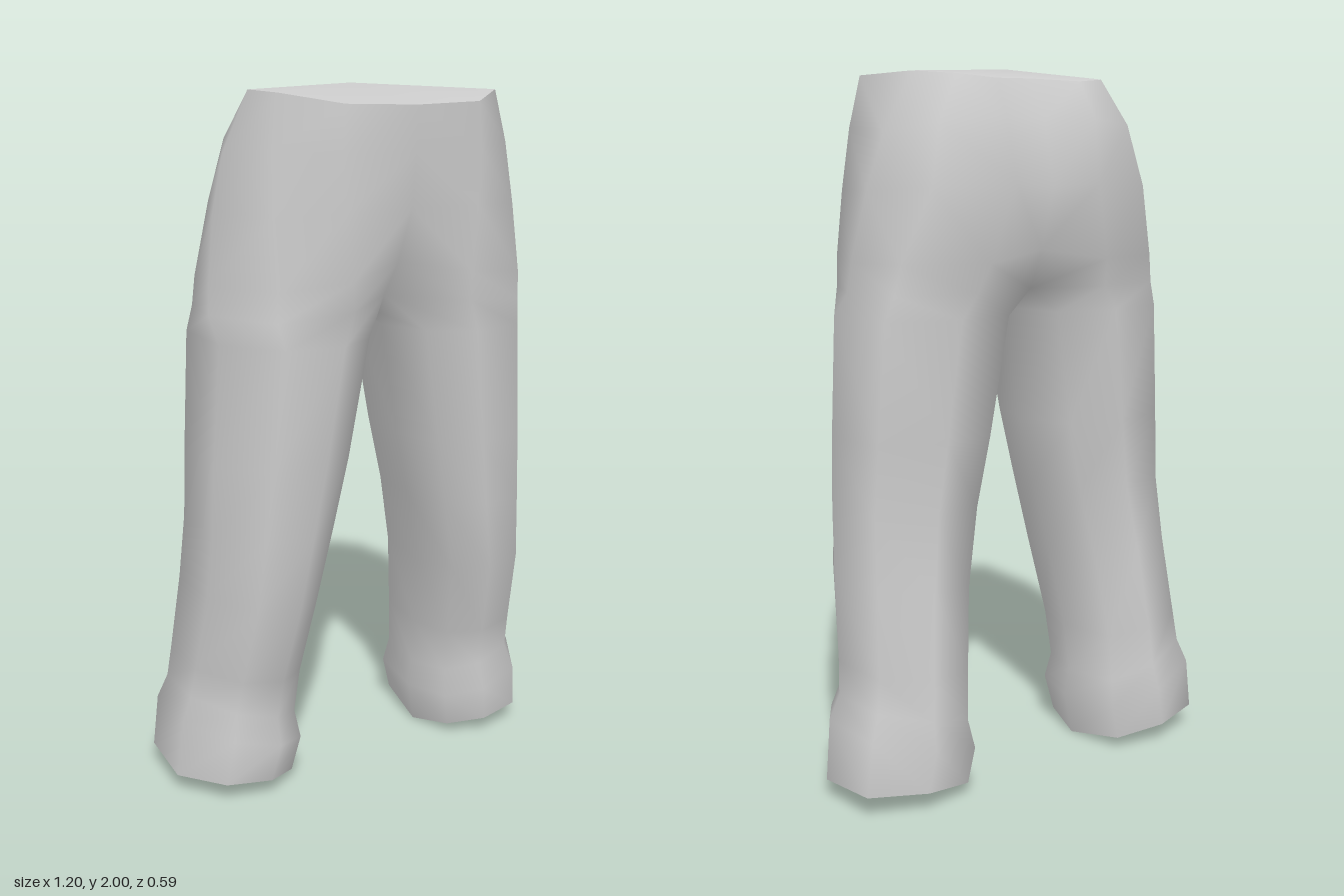
import * as THREE from 'three';
import { mergeVertices } from 'three/addons/utils/BufferGeometryUtils.js';

// Rings run front centre -> outer side -> back centre, for the +x half.
const hipRings = [
  [[0, 1.95, 0.292], [0.21, 1.955, 0.272], [0.345, 1.982, 0.16], [0.315, 1.985, -0.06], [0.245, 1.975, -0.17], [0.14, 1.965, -0.205], [0, 1.97, -0.165]],
  [[0, 1.83, 0.285], [0.22, 1.83, 0.275], [0.37, 1.84, 0.18], [0.4, 1.82, -0.05], [0.32, 1.85, -0.2], [0.15, 1.865, -0.262], [0, 1.86, -0.23]],
  [[0, 1.68, 0.265], [0.21, 1.68, 0.277], [0.385, 1.67, 0.2], [0.442, 1.67, -0.03], [0.36, 1.68, -0.225], [0.14, 1.69, -0.296], [0, 1.68, -0.272]],
  [[0, 1.53, 0.2], [0.19, 1.5, 0.28], [0.39, 1.48, 0.228], [0.475, 1.48, 0], [0.43, 1.48, -0.18], [0.2, 1.48, -0.262], [0, 1.51, -0.22]],
  // crotch ring, closed by one extra point underneath
  [[0, 1.43, 0.13], [0.19, 1.42, 0.28], [0.39, 1.4, 0.23], [0.482, 1.4, 0.01], [0.445, 1.4, -0.17], [0.22, 1.4, -0.23], [0, 1.4, -0.17], [0, 1.385, 0]],
];

// Leg cross-section: u from inner to outer side, v from back to front.
const section = [[0.1, 0.85], [0.38, 1], [0.75, 0.94], [1, 0.6], [0.96, 0.13], [0.5, 0], [0.08, 0.08], [0, 0.52]];

// Leg rings: height, inner x, outer x, front z, back z, rise towards the outer side
const legRings = [
  [1.33, 0.05, 0.487, 0.278, -0.225, 0],
  [1.0, 0.11, 0.506, 0.255, -0.213, 0],
  [0.8, 0.155, 0.514, 0.237, -0.206, 0],
  [0.58, 0.203, 0.523, 0.217, -0.23, 0.03],
  [0.35, 0.23, 0.542, 0.155, -0.26, 0.03],
  [0.21, 0.237, 0.553, 0.13, -0.268, 0.08],
  [0.13, 0.222, 0.582, 0.155, -0.29, 0.09],
  [0.005, 0.245, 0.6, 0.135, -0.286, 0.045],
].map(([y, x0, x1, zf, zb, rise]) => section.map(([u, v]) =>
  [x0 + (x1 - x0) * u, y + rise * u + (rise === 0.045 ? 0.07 * Math.abs(v - 0.52) * (1 - u * 0.3) : 0), zb + (zf - zb) * v]));

function triangleBag() {
  const data = [];
  return {
    // adds a triangle together with its mirror image
    add(a, b, c) {
      data.push(...a, ...b, ...c);
      for (const p of [a, c, b]) data.push(-p[0], p[1], p[2]);
    },
    geometry(smooth) {
      let g = new THREE.BufferGeometry();
      g.setAttribute('position', new THREE.Float32BufferAttribute(data, 3));
      if (smooth) g = mergeVertices(g, 1e-4);
      g.computeVertexNormals();
      return g;
    },
  };
}

// Walls between consecutive rings
function loft(bag, rings, closed) {
  for (let r = 0; r < rings.length - 1; r++) {
    const up = rings[r], low = rings[r + 1];
    const count = closed ? 8 : 6;
    for (let c = 0; c < count; c++) {
      const n = closed ? (c + 1) % 8 : c + 1;
      bag.add(up[c], low[c], low[n]);
      bag.add(up[c], low[n], up[n]);
    }
  }
}

export function createModel() {
  const group = new THREE.Group();
  group.name = 'trousers';
  const cloth = new THREE.MeshStandardMaterial({ color: 0xcccccc });
  cloth.name = 'light grey cloth';
  const addMesh = (name, geometry) => {
    const mesh = new THREE.Mesh(geometry, cloth);
    mesh.name = name;
    group.add(mesh);
  };

  // Hips and both legs as one smooth skin
  const skin = triangleBag();
  loft(skin, hipRings, false);
  loft(skin, [hipRings[hipRings.length - 1], ...legRings], true);
  addMesh('hipsAndLegs', skin.geometry(true));

  // Slightly raised waist cap
  const waist = triangleBag();
  const top = hipRings[0];
  for (let c = 0; c < 6; c++) waist.add([0, 2, -0.05], top[c], top[c + 1]);
  addMesh('waistCap', waist.geometry(true));

  // Hem caps closing the leg ends
  const hems = triangleBag();
  const hem = legRings[legRings.length - 1];
  const mid = [0, 1, 2].map((k) => hem.reduce((s, p) => s + p[k], 0) / 8);
  hem.forEach((p, c) => hems.add(mid, hem[(c + 1) % 8], p));
  addMesh('hemCaps', hems.geometry(false));

  return group;
}
